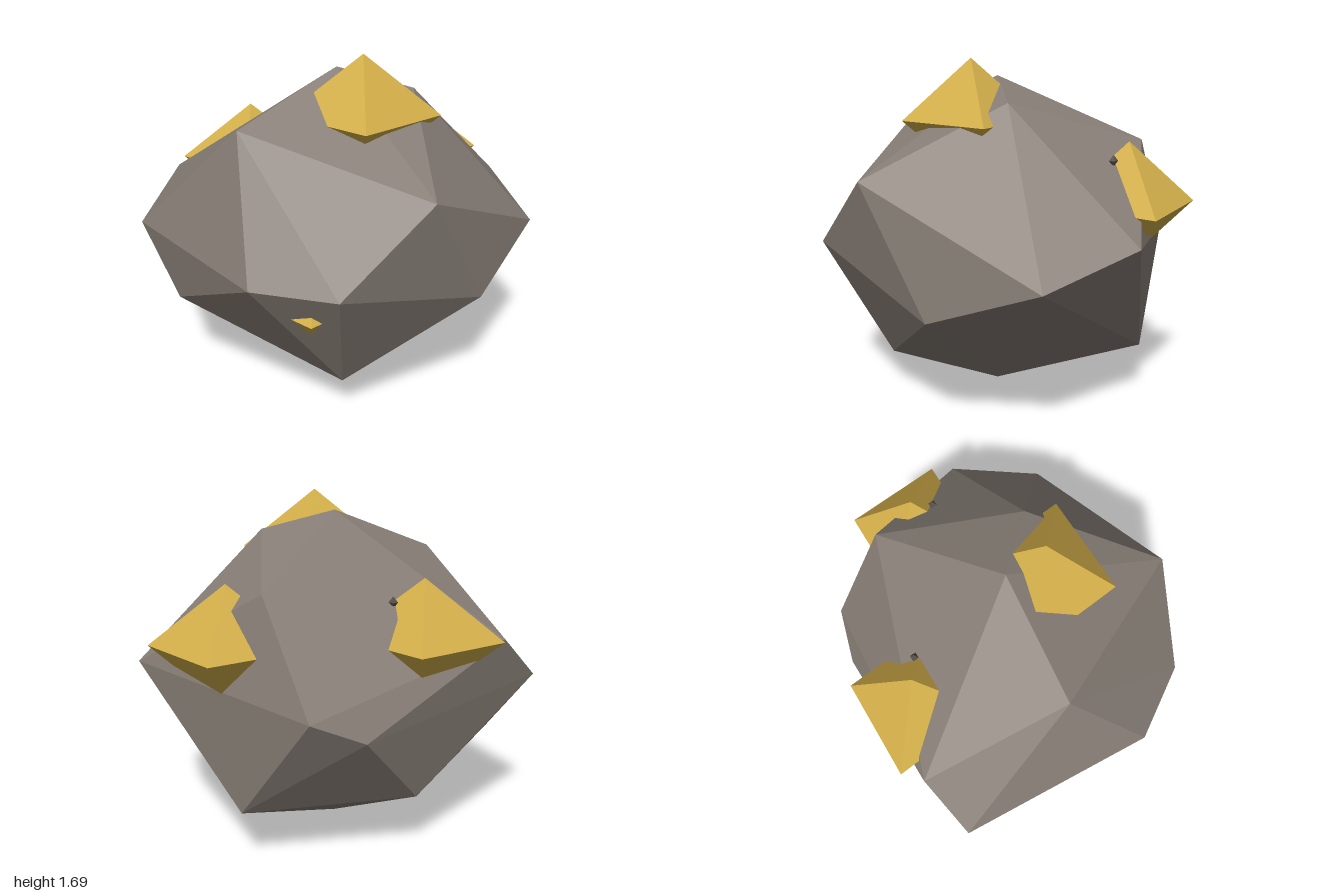
import * as THREE from 'three';
import { ConvexGeometry } from 'three/addons/geometries/ConvexGeometry.js';

export function createModel() {
  const model = new THREE.Group();
  model.name = 'oreRock';

  const material = (name, color) => {
    const m = new THREE.MeshStandardMaterial({ color, flatShading: true });
    m.name = name;
    return m;
  };
  const stone = material('stone', 0x877e76);
  const gold = material('gold', 0xd4b04a);
  const darkStone = material('darkStone', 0x57514d);

  // Boulder: a faceted hull through its corner points
  const corners = [
    [1, 0.8, 0], [-1, 0.8, 0], [0, 1.6, 0], [0, 0, 0], [0, 0.8, 0.88], [0, 0.8, -0.88],
    [0.37, 1.5, 0.02], [-0.45, 1.39, 0.36], [0.41, 1.17, 0.7], [0.23, 1.3, -0.67],
    [0.68, 0.59, 0.44], [-0.39, 0.8, 0.77], [0.87, 0.93, -0.45], [-0.83, 1.03, -0.23],
    [-0.23, 0.69, -0.78], [0.02, 0.2, 0.55], [-0.8, 0.46, 0.18], [0.35, 0.28, -0.66],
    [-0.44, 0.31, -0.45],
  ].map((p) => new THREE.Vector3(...p));
  const boulder = new THREE.Mesh(new ConvexGeometry(corners), stone);
  boulder.name = 'boulder';
  model.add(boulder);

  const octahedron = new THREE.OctahedronGeometry(1);
  const addCrystal = (name, mat, position, size) => {
    const mesh = new THREE.Mesh(octahedron, mat);
    mesh.name = name;
    mesh.position.set(...position);
    mesh.scale.set(...size);
    model.add(mesh);
  };

  // Gold nuggets half sunk into the boulder
  [
    [0.12, 1.4, 0.15],
    [-0.45, 1.04, -0.34],
    [0.42, 1.03, -0.54],
    [-0.12, 0.645, 0.485],
  ].forEach((p, i) => addCrystal(`goldNugget${i + 1}`, gold, p, [0.37, 0.29, 0.33]));

  // Tiny loose chips beside the rear nuggets
  [
    [-0.31, 1.22, -0.37],
    [0.47, 1.24, -0.45],
  ].forEach((p, i) => addCrystal(`stoneChip${i + 1}`, darkStone, p, [0.022, 0.028, 0.022]));

  return model;
}
